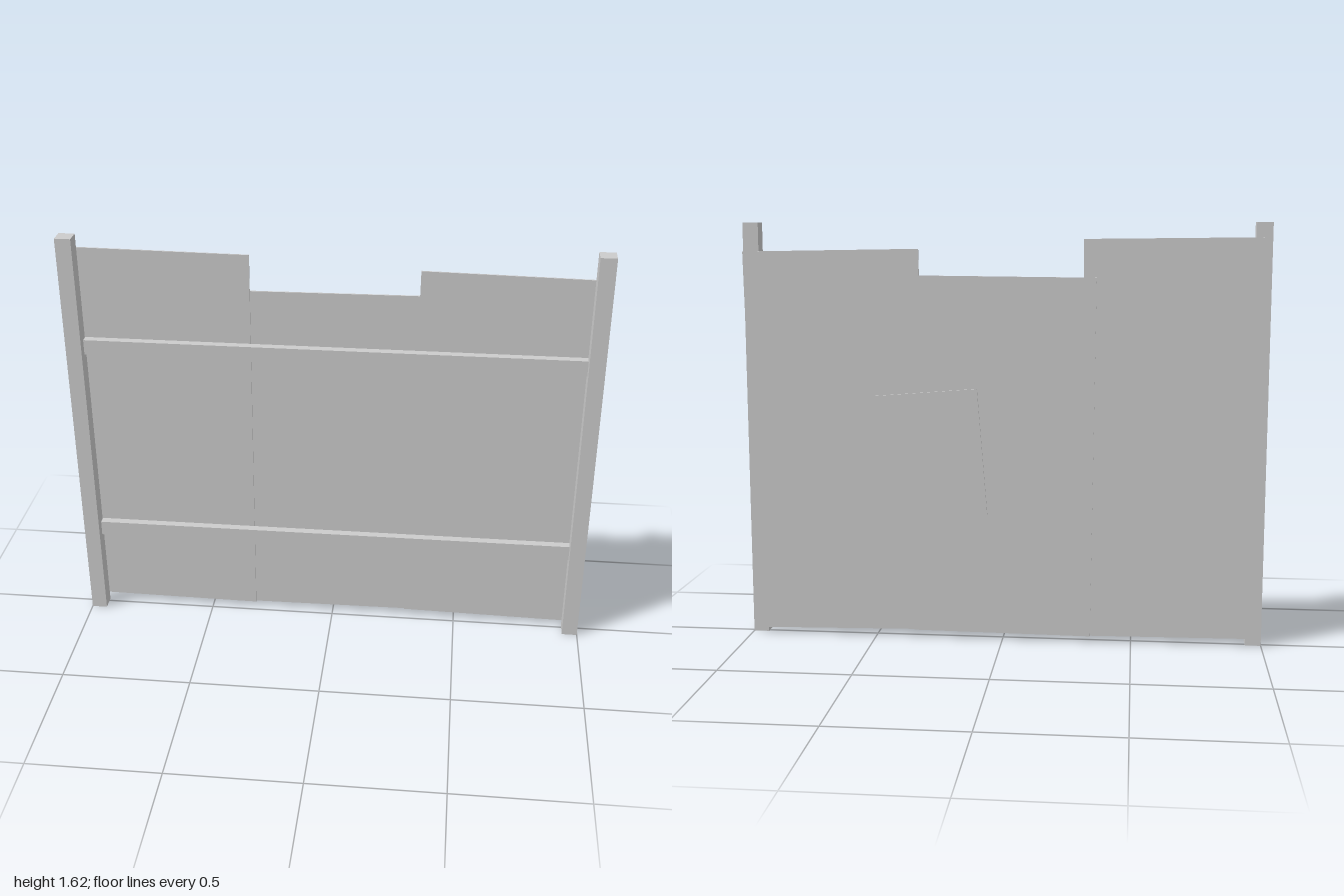
import * as THREE from 'three';

export function createModel() {
  const group = new THREE.Group();
  const grey = new THREE.MeshStandardMaterial({ color: 0xcccccc });
  grey.name = 'plain grey';

  // Box given by size and centre, optionally turned in the plane of the fence
  function box(name, [w, h, d], [x, y, z], turn = 0) {
    const mesh = new THREE.Mesh(new THREE.BoxGeometry(w, h, d), grey);
    mesh.name = name;
    mesh.position.set(x, y, z);
    mesh.rotation.z = turn;
    group.add(mesh);
  }

  // Upright posts at both ends
  for (const side of [-1, 1]) {
    box(side > 0 ? 'leftPost' : 'rightPost', [0.06, 1.615, 0.06], [side * 0.97, 0.8075, 0.016]);
  }

  // Horizontal rails between the posts
  box('lowerRail', [1.88, 0.06, 0.03], [0, 0.367, -0.004]);
  box('upperRail', [1.88, 0.06, 0.03], [0, 1.173, -0.004]);

  // Overlapping, slightly crooked sheets on the back
  box('rightSheet', [0.68, 1.53, 0.006], [-0.652, 0.792, -0.0235], -0.01);
  box('leftSheet', [0.68, 1.485, 0.006], [0.648, 0.768, -0.0235], -0.0165);
  box('middleSheet', [0.69, 1.387, 0.006], [-0.003, 0.72, -0.031], 0.009);

  // Crooked patch over the sheets
  box('patch', [0.407, 0.488, 0.007], [0.28, 0.729, -0.0415], -0.08);

  return group;
}
